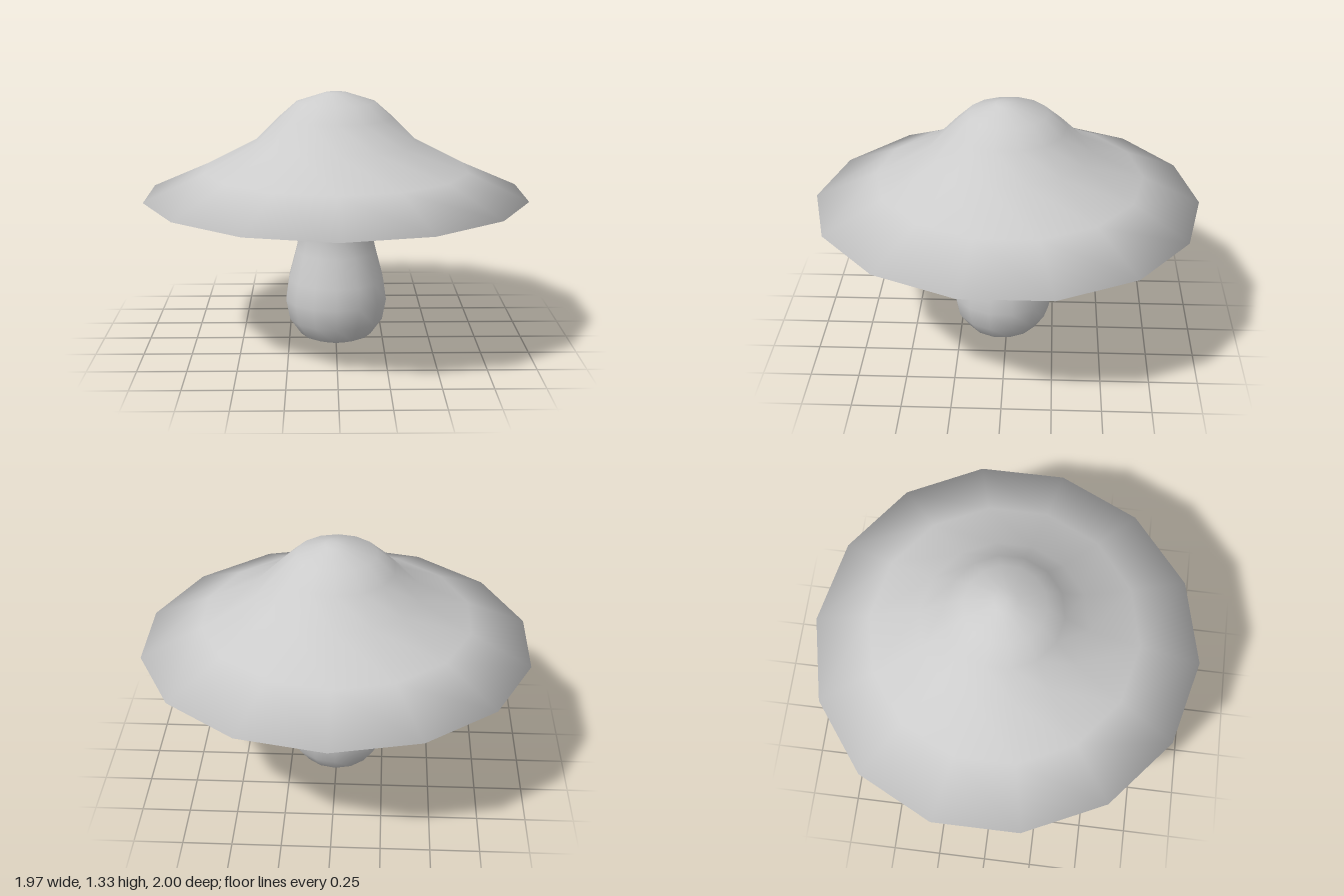
import * as THREE from 'three';
import { mergeVertices } from 'three/addons/utils/BufferGeometryUtils.js';

const SIDES = 14;

// radius, height: from the foot of the stem up to its flared top
const stemProfile = [
  [0, 0], [0.1, 0.01], [0.19, 0.045], [0.25, 0.13], [0.271, 0.24], [0.255, 0.35],
  [0.215, 0.5], [0.188, 0.62], [0.215, 0.71], [0.297, 0.75],
];
// hollow underside, lip, rim, then over the top to the crown
const capProfile = [
  [0.42, 0.82], [0.62, 0.825], [0.73, 0.75], [1, 0.79], [0.69, 0.93], [0.425, 1.07],
  [0.295, 1.2], [0.205, 1.28], [0.06, 1.328], [0, 1.333],
];

// One turned skin, so the shading flows smoothly from stem to cap
function turnedSkin() {
  const points = [...stemProfile, ...capProfile].map(([r, y]) => new THREE.Vector2(r, y));
  let geo = new THREE.LatheGeometry(points, SIDES);
  geo.deleteAttribute('uv');
  geo.deleteAttribute('normal');
  geo = mergeVertices(geo, 1e-4);

  // Slight hand-made unevenness: stem sits forward, cap leans back and bulges sideways
  const p = geo.attributes.position;
  for (let i = 0; i < p.count; i++) {
    const x = p.getX(i);
    const z = p.getZ(i);
    const r = Math.hypot(x, z);
    if (p.getY(i) < 0.751 && r < 0.4) {
      p.setZ(i, z + 0.022);
    } else {
      p.setX(i, x * 1.01);
      p.setZ(i, z - 0.035 * r * (1 - z * z));
    }
  }
  geo.computeVertexNormals();
  return geo;
}

// Keeps the faces that pass the test, sharing the skin's points and normals
function partOf(skin, name, material, keep) {
  const p = skin.attributes.position;
  const index = skin.index.array;
  const faces = [];
  for (let i = 0; i < index.length; i += 3) {
    const tri = [index[i], index[i + 1], index[i + 2]];
    if (new Set(tri).size < 3) continue;
    if (keep(tri.map((v) => Math.hypot(p.getX(v), p.getZ(v))), tri.map((v) => p.getY(v)))) faces.push(...tri);
  }
  const geo = new THREE.BufferGeometry();
  geo.setAttribute('position', p);
  geo.setAttribute('normal', skin.attributes.normal);
  geo.setIndex(faces);
  const mesh = new THREE.Mesh(geo, material);
  mesh.name = name;
  return mesh;
}

export function createModel() {
  const group = new THREE.Group();
  group.name = 'mushroom';
  const material = new THREE.MeshStandardMaterial({ color: 0xcccccc });
  const skin = turnedSkin();
  const isStem = (radii, heights) => Math.max(...radii) < 0.4 && Math.max(...heights) < 0.76;
  group.add(partOf(skin, 'stem', material, isStem));
  group.add(partOf(skin, 'cap', material, (r, y) => !isStem(r, y)));
  return group;
}
